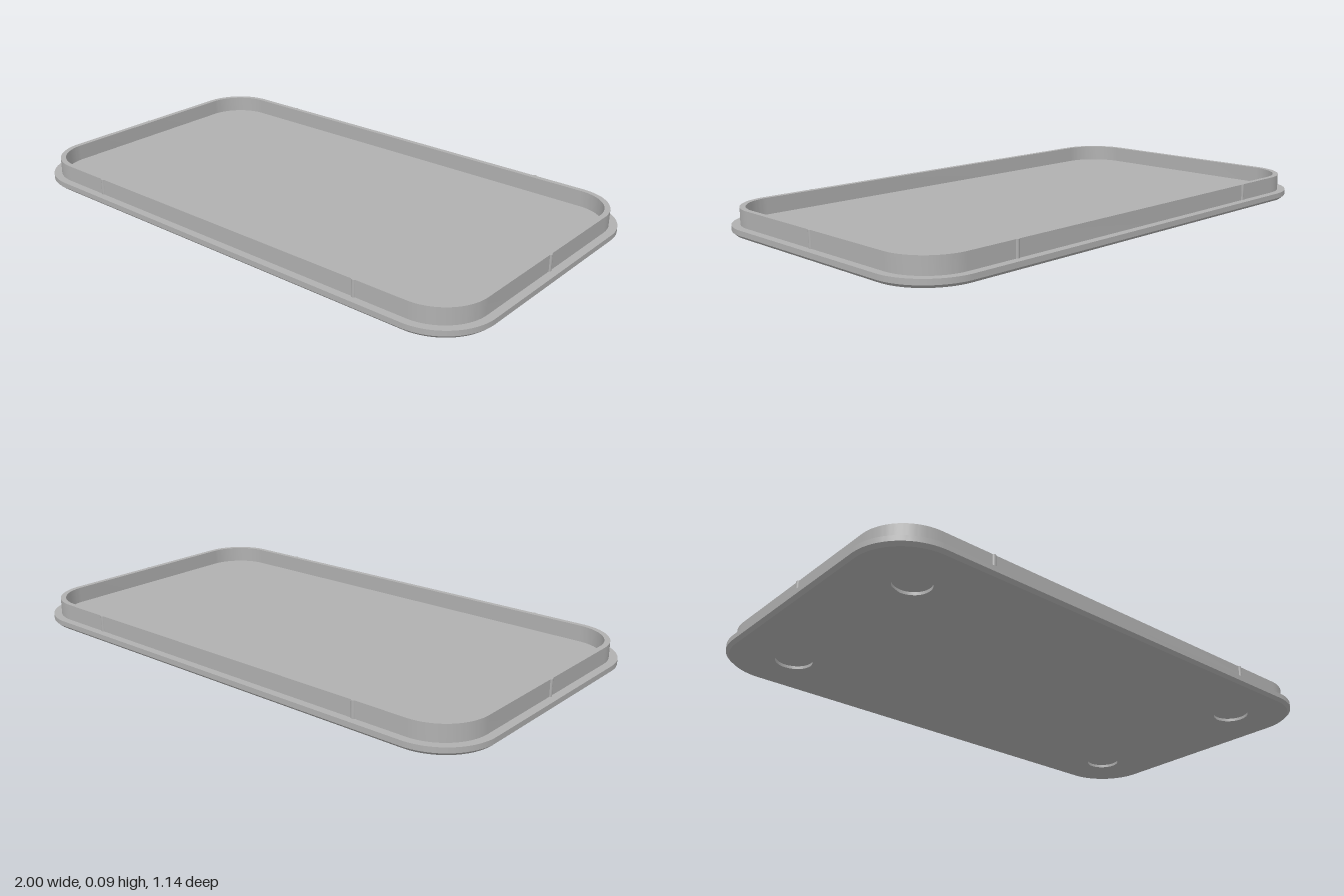
import * as THREE from 'three';
import { toCreasedNormals } from 'three/addons/utils/BufferGeometryUtils.js';

const CORE_X = 0.8, CORE_Z = 0.37; // centres of the corner arcs

// Rounded rectangle drawn around the corner centres
function roundedRect(Type, rx, rz, r) {
  const s = new Type();
  const x = rx - r, z = rz - r;
  s.absarc(x, z, r, 0, Math.PI / 2, false);
  s.absarc(-x, z, r, Math.PI / 2, Math.PI, false);
  s.absarc(-x, -z, r, Math.PI, Math.PI * 1.5, false);
  s.absarc(x, -z, r, Math.PI * 1.5, Math.PI * 2, false);
  s.closePath();
  return s;
}

// Extrude a plan shape upwards between two heights
function slab(shape, y0, y1) {
  const g = new THREE.ExtrudeGeometry(shape, { depth: y1 - y0, bevelEnabled: false, curveSegments: 16 });
  g.rotateX(-Math.PI / 2);
  g.translate(0, y0, 0);
  return g;
}

export function createModel() {
  const group = new THREE.Group();
  const grey = new THREE.MeshStandardMaterial({ color: 0xb0b0b0 });
  grey.name = 'grey plastic';

  const add = (name, geometry) => {
    const mesh = new THREE.Mesh(geometry, grey);
    mesh.name = name;
    group.add(mesh);
    return mesh;
  };

  // Lower layer with four round foot recesses
  const bottom = roundedRect(THREE.Shape, 1, 0.57, 0.2);
  for (const x of [-0.77, 0.77]) {
    for (const z of [-0.355, 0.355]) {
      bottom.holes.push(new THREE.Path().absarc(x, z, 0.065, 0, Math.PI * 2, true));
    }
  }
  const lower = slab(bottom, 0, 0.011);

  // Chamfer: pull the lowest outline inwards
  const p = lower.attributes.position;
  for (let i = 0; i < p.count; i++) {
    const cx = THREE.MathUtils.clamp(p.getX(i), -CORE_X, CORE_X);
    const cz = THREE.MathUtils.clamp(p.getZ(i), -CORE_Z, CORE_Z);
    const dx = p.getX(i) - cx, dz = p.getZ(i) - cz;
    if (p.getY(i) < 0.001 && Math.hypot(dx, dz) > 0.19) {
      p.setX(i, cx + dx * 0.94);
      p.setZ(i, cz + dz * 0.94);
    }
  }
  add('chamferedBottom', toCreasedNormals(lower, 0.4));

  // Upper layer of the plate
  add('plate', toCreasedNormals(slab(roundedRect(THREE.Shape, 1, 0.57, 0.2), 0.011, 0.03), 0.4));

  // Thin upright rim
  const rim = roundedRect(THREE.Shape, 0.97, 0.541, 0.171);
  rim.holes.push(roundedRect(THREE.Path, 0.95, 0.521, 0.151));
  add('rim', toCreasedNormals(slab(rim, 0.03, 0.09), 0.4));

  // Small snap ridges on the outside of the rim
  const ridge = new THREE.CylinderGeometry(0.008, 0.008, 0.06, 16);
  const spots = [[-0.6, 0.538], [0.6, 0.538], [-0.6, -0.538], [0.6, -0.538], [-0.967, 0], [0.967, 0]];
  for (const [x, z] of spots) add('snapRidge', ridge).position.set(x, 0.06, z);

  return group;
}
